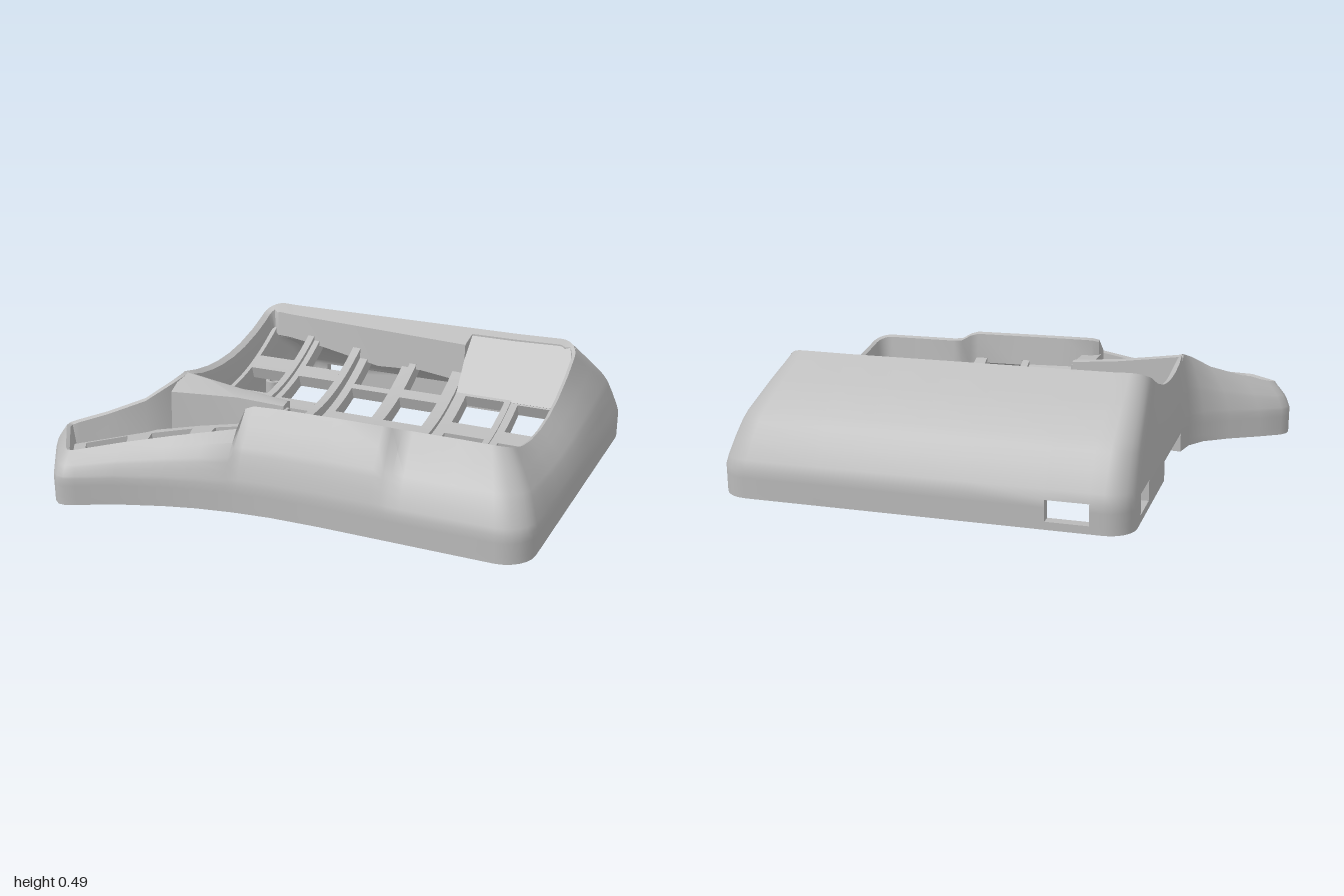
import * as THREE from 'three';
import { toCreasedNormals } from 'three/addons/utils/BufferGeometryUtils.js';

const plastic = new THREE.MeshStandardMaterial({ color: 0xbababa, side: THREE.DoubleSide });
plastic.name = 'grey plastic';

// Key columns: centre x, left and right edge, floor height, back and front end, key row centres
const columns = [
  { x: -0.435, a: -0.56, b: -0.32, y: 0.225, back: -0.455, front: 0.25, rows: [-0.365, -0.12, 0.135] },
  { x: -0.21, a: -0.32, b: -0.09, y: 0.208, back: -0.455, front: 0.25, rows: [-0.365, -0.135, 0.12] },
  { x: 0.03, a: -0.09, b: 0.15, y: 0.167, back: -0.45, front: 0.46, rows: [-0.355, -0.165, 0.09, 0.33] },
  { x: 0.265, a: 0.15, b: 0.4, y: 0.185, back: -0.44, front: 0.46, rows: [-0.345, -0.13, 0.11, 0.365] },
  { x: 0.53, a: 0.4, b: 0.64, y: 0.168, back: -0.47, front: 0.4, rows: [-0.22, 0.035, 0.285] },
  { x: 0.755, a: 0.64, b: 0.885, y: 0.162, back: -0.47, front: 0.4, rows: [-0.22, 0.035, 0.285] },
];
const bowl = z => 0.6 * (z - 0.07) ** 2;
const bowlSlope = z => 1.2 * (z - 0.07);
const thumbFloor = x => 0.14 + 0.155 * (x + 0.85);
function floorAt(x, z) {
  if (x < -0.14 && z > 0.3) return thumbFloor(x);
  return (columns.find(c => x < c.b) || columns[5]).y + bowl(z);
}

// Heights of the opening's edge along the two sides
const leftRim = z => 0.355 + 0.55 * z * z;
const rightRim = z => 0.295 + 0.585 * (z - 0.08) ** 2;

// Stations around the case: base x, base z, rim x, rim z, rim y
function stations() {
  const s = [];
  const add = (bx, bz, rx, rz, ry) => s.push([bx, bz, rx, rz, ry]);
  const corner = (bx, bz, br, rx, rz, rr, start, rim) => {
    for (let i = 0; i <= 6; i++) {
      const t = (start + i / 6) * Math.PI / 2, c = Math.cos(t), d = Math.sin(t);
      add(bx + br * c, bz + br * d, rx + rr * c, rz + rr * d, rim(rz + rr * d));
    }
  };
  for (const [bz, rz] of [[0.15, 0.17], [0.08, 0.08], [0, 0], [-0.12, -0.1], [-0.23, -0.2], [-0.4, -0.31], [-0.55, -0.38], [-0.7, -0.415]])
    add(-0.59, bz, -0.572, rz, leftRim(rz));
  corner(-0.49, -0.755, 0.1, -0.5, -0.425, 0.072, 2, leftRim);
  for (const x of [-0.44, -0.28, 0, 0.2, 0.4, 0.41, 0.6]) add(x, -0.855, x, -0.497, 0.489);
  corner(0.876, -0.735, 0.12, 0.79, -0.425, 0.075, 3, rightRim);
  for (const [bz, rz] of [[-0.5, -0.33], [-0.25, -0.2], [-0.1, -0.08], [0.05, 0.04], [0.2, 0.17], [0.35, 0.27]])
    add(0.996, bz, 0.866, rz, rightRim(rz));
  corner(0.876, 0.49, 0.12, 0.79, 0.34, 0.072, 0, rightRim);
  add(0.7, 0.61, 0.66, 0.411, 0.36);
  add(0.52, 0.61, 0.49, 0.412, 0.36);
  add(0.47, 0.61, 0.455, 0.42, 0.362);
  add(0.44, 0.61, 0.425, 0.455, 0.378);
  add(0.4, 0.61, 0.395, 0.47, 0.385);
  add(0.2, 0.61, 0.2, 0.472, 0.386);
  add(0, 0.617, 0, 0.477, 0.386);
  add(-0.13, 0.632, -0.13, 0.485, 0.384);
  // step down to the thumb wing
  add(-0.165, 0.637, -0.158, 0.5, 0.375);
  add(-0.18, 0.64, -0.165, 0.56, 0.313);
  add(-0.3, 0.663, -0.29, 0.577, 0.285);
  add(-0.42, 0.697, -0.42, 0.61, 0.26);
  add(-0.6, 0.763, -0.6, 0.678, 0.228);
  add(-0.73, 0.83, -0.765, 0.765, 0.2);
  add(-0.77, 0.848, -0.785, 0.771, 0.198);
  add(-0.8, 0.848, -0.8, 0.77, 0.198);
  add(-0.83, 0.825, -0.815, 0.757, 0.2);
  add(-0.98, 0.61, -0.925, 0.6, 0.217);
  add(-0.998, 0.57, -0.927, 0.58, 0.219);
  add(-0.993, 0.54, -0.92, 0.568, 0.222);
  add(-0.97, 0.51, -0.9, 0.55, 0.228);
  add(-0.88, 0.455, -0.8, 0.49, 0.258);
  add(-0.76, 0.39, -0.67, 0.41, 0.308);
  add(-0.66, 0.32, -0.595, 0.33, 0.366);
  add(-0.61, 0.245, -0.568, 0.262, 0.392);
  return s;
}

// Height profile: upright foot, steep lower slope, flatter upper slope to the rim
function profile(bx, bz, rx, rz, ry) {
  const pts = [0, 0.03, 0.08, 0.11].map(y => [bx, y, bz]);
  for (const [u, v] of [[0.04, 0.09], [0.15, 0.27], [0.26, 0.425], [0.34, 0.51], [0.67, 0.765], [1, 1]])
    pts.push([bx + (rx - bx) * u, 0.11 + (ry - 0.11) * v, bz + (rz - bz) * u]);
  return pts;
}

// Width of the sloping lip inside the rim: widest along the back
function lipWidth(x, z) {
  if (z > -0.48) return x < -0.5 && z < 0.2 ? 0.024 : 0.014;
  return x < 0.405 ? 0.05 + 0.04 * (x + 0.53) / 0.93 : 0.03;
}

function caseShell() {
  const s = stations(), n = s.length, outer = [], inner = [], lip = [];
  s.forEach((p, i) => {
    const q = s[(i + n - 1) % n], r = s[(i + 1) % n];
    const tx = r[0] - q[0], tz = r[1] - q[1], l = Math.hypot(tx, tz);
    const nx = -tz / l, nz = tx / l, w = lipWidth(p[2], p[3]);
    const fx = p[2] + nx * (w + 0.012), fz = p[3] + nz * (w + 0.012);
    outer.push(profile(...p));
    lip.push([p[2] + nx * w, p[4] - w * 0.55, p[3] + nz * w]);
    inner.push(profile(p[0] + nx * 0.04, p[1] + nz * 0.04, fx, fz, Math.min(p[4] - 0.05, floorAt(fx, fz) - 0.02)));
  });
  // Openings: side notch at the base, side port and back port
  const open = (i, k) => {
    if (k < 0) return true;
    const a = s[i], b = s[(i + 1) % n], x = (a[0] + b[0]) / 2, z = (a[1] + b[1]) / 2;
    if (x < -0.585 && z > -0.23 && z < 0.15) return k < 2;
    const port = (x < -0.585 && z > -0.7 && z < -0.55) || (z < -0.85 && x > -0.44 && x < -0.28);
    return port && (k === 1 || k === 2);
  };
  const v = [];
  const quad = (a, b, c, d) => v.push(...a, ...b, ...c, ...a, ...c, ...d);
  const top = outer[0].length - 1;
  for (let i = 0; i < n; i++) {
    const j = (i + 1) % n;
    for (let k = 0; k < top; k++) {
      if (!open(i, k)) {
        quad(outer[i][k], outer[i][k + 1], outer[j][k + 1], outer[j][k]);
        quad(inner[i][k], inner[j][k], inner[j][k + 1], inner[i][k + 1]);
      }
      // edges of the openings and the base
      if (open(i, k) !== open(i, k - 1)) quad(outer[i][k], outer[j][k], inner[j][k], inner[i][k]);
      if (open(i, k) !== open(j, k)) quad(outer[j][k], outer[j][k + 1], inner[j][k + 1], inner[j][k]);
    }
    quad(outer[i][top], lip[i], lip[j], outer[j][top]);
    quad(lip[i], inner[i][top], inner[j][top], lip[j]);
  }
  return fromTriangles(v);
}

function fromTriangles(v) {
  const g = new THREE.BufferGeometry();
  g.setAttribute('position', new THREE.Float32BufferAttribute(v, 3));
  return toCreasedNormals(g, 0.75);
}

// Bar following the bowl curve, its thickness square to the curve
function bowlBar(x0, x1, z0, z1, y) {
  const t = 0.055;
  const g = new THREE.BoxGeometry(x1 - x0, t, z1 - z0, 1, 1, Math.ceil((z1 - z0) / 0.05));
  g.translate((x0 + x1) / 2, -t / 2, (z0 + z1) / 2);
  const p = g.attributes.position;
  for (let i = 0; i < p.count; i++) {
    const d = p.getY(i), z = p.getZ(i), s = bowlSlope(z), l = Math.hypot(1, s);
    p.setXYZ(i, p.getX(i), y + bowl(z) + d / l, z - d * s / l);
  }
  return toCreasedNormals(g, 0.5);
}

// Sloping bank from the back rim down to the two shorter columns
function backSlope() {
  const shape = new THREE.Shape([[0.31, 0.25], [0.47, 0.47], [0.475, 0.42], [0.33, 0.22]].map(p => new THREE.Vector2(...p)));
  const g = new THREE.ExtrudeGeometry(shape, { depth: 0.455, bevelEnabled: false });
  return g.rotateY(Math.PI / 2).translate(0.4, 0, 0);
}

// Flat thumb plate with turned square key holes
function thumbPlate() {
  const outline = [[-0.165, 0.56], [-0.4, 0.605], [-0.6, 0.675], [-0.805, 0.765], [-0.92, 0.57], [-0.66, 0.41], [-0.35, 0.315], [-0.17, 0.29]];
  const shape = new THREE.Shape(outline.map(p => new THREE.Vector2(...p)));
  for (const [x, z, turn] of [[-0.28, 0.435, 0.14], [-0.52, 0.49, 0.36], [-0.745, 0.595, 0.56]]) {
    const c = Math.cos(turn) * 0.083, d = Math.sin(turn) * 0.083;
    shape.holes.push(new THREE.Path([[-1, -1], [-1, 1], [1, 1], [1, -1]].map(([i, j]) =>
      new THREE.Vector2(x + i * c + j * d, z - i * d + j * c))));
  }
  const g = new THREE.ExtrudeGeometry(shape, { depth: 0.05, bevelEnabled: false });
  const p = g.attributes.position;
  for (let i = 0; i < p.count; i++) {
    const x = p.getX(i), z = p.getY(i);
    p.setXYZ(i, x, thumbFloor(x) - p.getZ(i), z);
  }
  return toCreasedNormals(g, 0.5);
}

// Ridge between the main well and the thumb pocket: crest, slope, then pocket wall
function ridge() {
  const sections = [[-0.575, 0.39, 0.335, 0.365], [-0.45, 0.372, 0.335, 0.34], [-0.3, 0.352, 0.335, 0.312], [-0.1, 0.335, 0.325, 0.3]]
    .map(([x, y, ry, z]) => [[x, 0.17, 0.235], [x, y - 0.006, 0.245], [x, y, 0.262], [x, ry, z], [x, thumbFloor(x) - 0.03, z + 0.008]]);
  const v = [];
  for (let i = 0; i < 3; i++) for (let k = 0; k < 4; k++) {
    const a = sections[i], b = sections[i + 1];
    v.push(...a[k], ...a[k + 1], ...b[k + 1], ...a[k], ...b[k + 1], ...b[k]);
  }
  const e = sections[3];
  for (let k = 1; k < 4; k++) v.push(...e[0], ...e[k + 1], ...e[k]);
  return fromTriangles(v);
}

export function createModel() {
  const group = new THREE.Group();
  const add = (name, geometry, parent = group) => {
    const m = new THREE.Mesh(geometry, plastic);
    m.name = name;
    parent.add(m);
    return m;
  };
  add('caseShell', caseShell());

  // Curved key columns: two rails joined by cross bars between the key holes
  columns.forEach((c, i) => {
    const column = new THREE.Group();
    column.name = 'keyColumn' + (i + 1);
    group.add(column);
    const x0 = c.x - 0.084, x1 = c.x + 0.084;
    add('leftRail', bowlBar(c.a, x0, c.back, c.front, c.y), column);
    add('rightRail', bowlBar(x1, c.b, c.back, c.front, c.y), column);
    let z = c.back;
    for (const row of c.rows) {
      const half = 0.088 / Math.hypot(1, bowlSlope(row));
      if (row - half > z) add('crossBar', bowlBar(x0, x1, z, row - half, c.y), column);
      z = row + half;
    }
    if (c.front > z) add('crossBar', bowlBar(x0, x1, z, c.front, c.y), column);
  });

  add('backSlope', backSlope());
  add('thumbPlate', thumbPlate());
  add('ridge', ridge());
  add('thumbDivider', new THREE.BoxGeometry(0.08, 0.16, 0.23)).position.set(-0.128, 0.23, 0.385);

  // Hollow screw posts
  const post = new THREE.LatheGeometry([[0.018, 0], [0.035, 0], [0.035, 0.14], [0.018, 0.14], [0.018, 0]].map(p => new THREE.Vector2(...p)), 20);
  for (const [x, z] of [[-0.5, -0.37], [0.88, -0.7], [0.87, 0.48], [-0.65, 0.68]])
    add('screwPost', toCreasedNormals(post, 0.6)).position.set(x, 0.02, z);
  return group;
}
